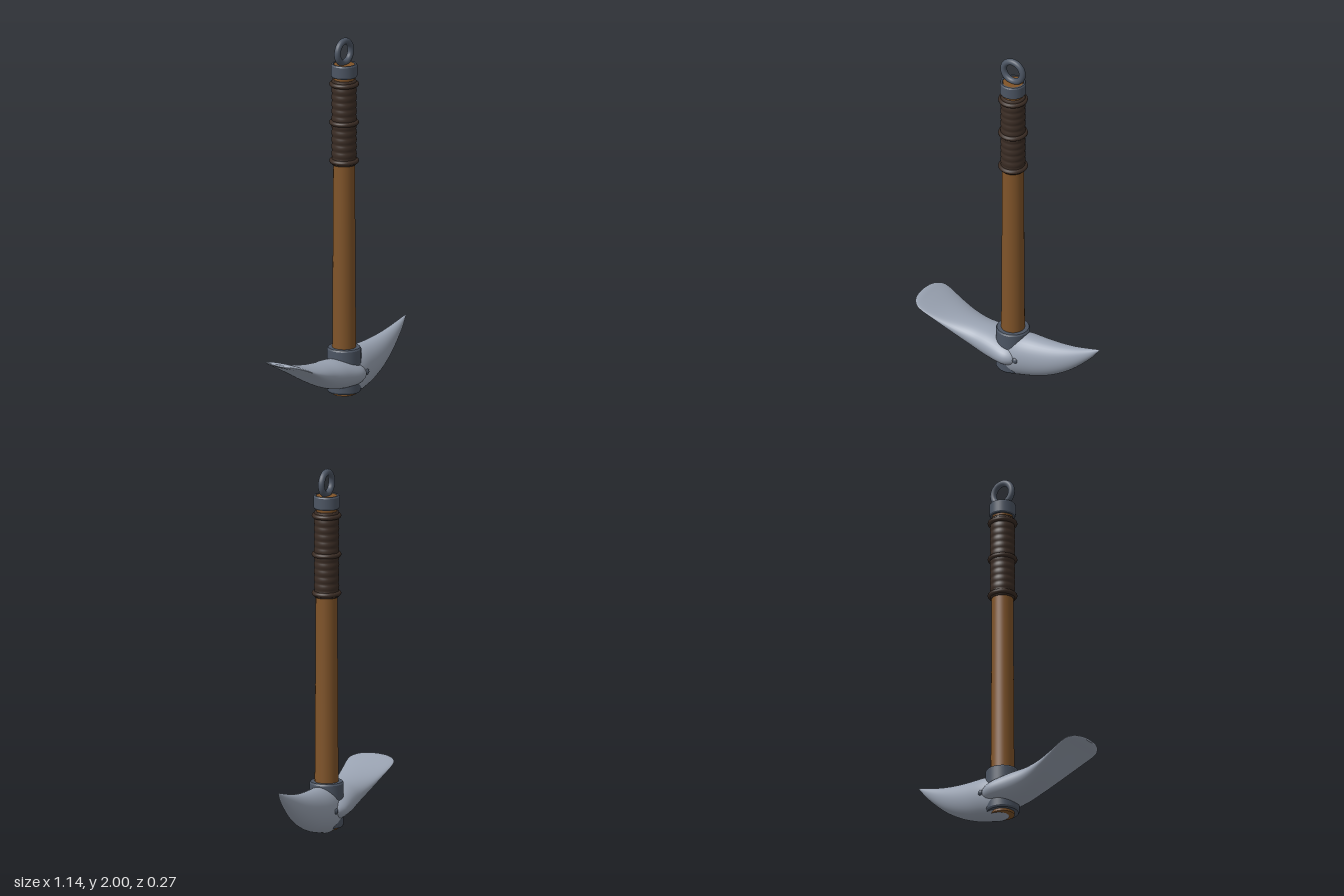
import * as THREE from 'three';

const material = (color) => new THREE.MeshStandardMaterial({ color });

const steel = material(0x98a1b0);
const darkMetal = material(0x4c5563);
const wood = material(0x805429);
const leather = material(0x3a2c24);

// The shaft line sits slightly toward the spike
const shaftX = 0.008;

function add(parent, name, geometry, mat, x = 0, y = 0, z = 0) {
  const mesh = new THREE.Mesh(geometry, mat);
  mesh.name = name;
  mesh.position.set(x, y, z);
  parent.add(mesh);
  return mesh;
}

const lathe = (pts, segments = 40) =>
  new THREE.LatheGeometry(pts.map(([r, y]) => new THREE.Vector2(r, y)), segments);

// Smooth blade along x from elliptical stations [x, bottom, top, halfWidth],
// listed in order of increasing x; stations are joined by a spline.
function bladeGeometry(stations, steps = 56, sides = 40) {
  const edge = (col) => new THREE.CatmullRomCurve3(
    stations.map((s) => new THREE.Vector3(s[0], s[col], s[3])), false, 'catmullrom', 0.5);
  const low = edge(1), high = edge(2);
  const positions = [], indices = [];
  for (let i = 0; i <= steps; i++) {
    const a = low.getPoint(i / steps), b = high.getPoint(i / steps);
    const mid = (a.y + b.y) / 2, ry = Math.max((b.y - a.y) / 2, 0), rz = Math.max(a.z, 0);
    for (let j = 0; j < sides; j++) {
      const t = (j / sides) * Math.PI * 2;
      positions.push((a.x + b.x) / 2, mid + ry * Math.cos(t), rz * Math.sin(t));
    }
  }
  for (let i = 0; i < steps; i++) {
    for (let j = 0; j < sides; j++) {
      const p = i * sides + j, q = i * sides + ((j + 1) % sides);
      indices.push(p, q, p + sides, q, q + sides, p + sides);
    }
  }
  // Close both ends with a centre point
  for (const end of [0, steps]) {
    const s = stations[end ? stations.length - 1 : 0];
    const c = positions.length / 3;
    positions.push(s[0], (s[1] + s[2]) / 2, 0);
    for (let j = 0; j < sides; j++) {
      const p = end * sides + j, q = end * sides + ((j + 1) % sides);
      if (end) indices.push(c, p, q);
      else indices.push(c, q, p);
    }
  }
  const g = new THREE.BufferGeometry();
  g.setAttribute('position', new THREE.Float32BufferAttribute(positions, 3));
  g.setIndex(indices);
  g.computeVertexNormals();
  return g;
}

export function createModel() {
  const model = new THREE.Group();
  model.name = 'pickaxe';

  // Wooden shaft, slightly thicker toward the head
  add(model, 'shaft', new THREE.CylinderGeometry(0.055, 0.065, 1.833, 40), wood, shaftX, 0.9385, 0);

  // Leather grip: a scalloped wrap with three raised bands
  const grip = new THREE.Group();
  grip.name = 'grip';
  grip.position.x = shaftX;
  model.add(grip);
  const wraps = 12, gripLow = 1.298, gripHigh = 1.77;
  const profile = [[0.05, gripLow]];
  for (let i = 0; i <= wraps * 6; i++) {
    const t = i / (wraps * 6);
    profile.push([0.064 + 0.004 * Math.abs(Math.sin(t * wraps * Math.PI)),
      gripLow + (gripHigh - gripLow) * t]);
  }
  profile.push([0.05, gripHigh]);
  add(grip, 'gripWrap', lathe(profile), leather);
  for (const y of [1.318, 1.532, 1.745]) {
    const band = add(grip, 'gripBand', new THREE.TorusGeometry(0.067, 0.013, 12, 40), leather, 0, y, 0);
    band.rotation.x = Math.PI / 2;
  }

  // Pommel collar around the shaft end, with a hanging ring
  add(model, 'pommelCollar', lathe([
    [0.05, 1.785], [0.066, 1.785], [0.066, 1.785], [0.071, 1.793], [0.071, 1.793],
    [0.071, 1.85], [0.071, 1.85], [0.066, 1.858], [0.066, 1.858], [0.058, 1.858],
    [0.058, 1.858], [0.054, 1.845],
  ]), darkMetal, shaftX);
  add(model, 'hangingRing', new THREE.TorusGeometry(0.06, 0.018, 16, 48), darkMetal, shaftX, 1.922, 0);

  // Head: socket, spike, adze and rivets
  const head = new THREE.Group();
  head.name = 'head';
  model.add(head);
  add(head, 'socket', lathe([
    [0.06, 0.035], [0.086, 0.035], [0.086, 0.035], [0.092, 0.045], [0.092, 0.045],
    [0.092, 0.272], [0.092, 0.272], [0.086, 0.281], [0.086, 0.281], [0.06, 0.281],
  ]), darkMetal, shaftX);

  add(head, 'spike', bladeGeometry([
    [-0.085, 0.085, 0.2, 0.06],
    [-0.06, 0.055, 0.225, 0.085],
    [-0.02, 0.02, 0.245, 0.094],
    [0.03, 0, 0.257, 0.098],
    [0.1, 0.014, 0.265, 0.098],
    [0.2, 0.042, 0.267, 0.086],
    [0.3, 0.088, 0.274, 0.069],
    [0.4, 0.156, 0.29, 0.047],
    [0.5, 0.25, 0.315, 0.023],
    [0.545, 0.304, 0.328, 0.009],
    [0.568, 0.333, 0.334, 0.001],
  ]), steel);

  add(head, 'adze', bladeGeometry([
    [-0.57, 0.298, 0.31, 0.035],
    [-0.562, 0.295, 0.313, 0.075],
    [-0.54, 0.283, 0.311, 0.115],
    [-0.5, 0.264, 0.298, 0.137],
    [-0.4, 0.206, 0.268, 0.126],
    [-0.3, 0.147, 0.248, 0.113],
    [-0.2, 0.1, 0.238, 0.107],
    [-0.1, 0.071, 0.234, 0.117],
    [0, 0.065, 0.216, 0.129],
    [0.05, 0.075, 0.2, 0.117],
    [0.078, 0.1, 0.175, 0.09],
    [0.09, 0.125, 0.15, 0.04],
  ]), steel);

  for (const side of [-1, 1]) {
    add(head, 'rivet', new THREE.SphereGeometry(0.018, 20, 14), darkMetal, 0.083, 0.14, side * 0.09);
  }

  return model;
}
